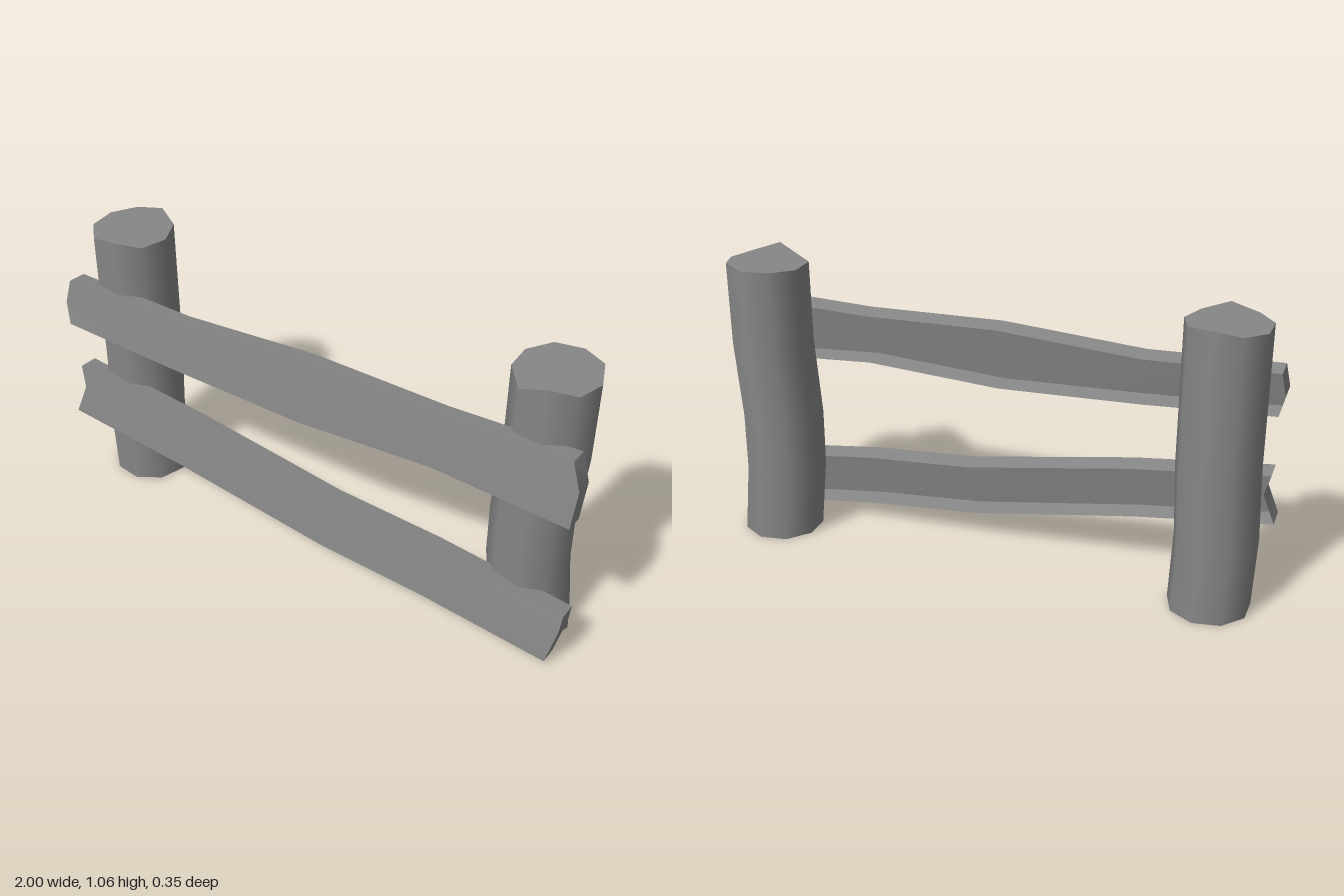
import * as THREE from 'three';
import { mergeGeometries } from 'three/addons/utils/BufferGeometryUtils.js';

const SIDES = 9, RADIUS = 0.145, POST_Z = -0.03;

function material() {
  return new THREE.MeshStandardMaterial({ color: 0x878787, side: THREE.DoubleSide });
}

// Round log post: bent cylinder, open underneath, with an unevenly cut top.
// rows: [height fraction, sideways shift]; rim: height of each top corner
function post(name, x, rows, rim) {
  const group = new THREE.Group();
  group.name = name;

  const wall = new THREE.CylinderGeometry(RADIUS, RADIUS, 1, SIDES, rows.length - 1, true, Math.PI / 2);
  const p = wall.attributes.position;
  for (let i = 0; i < p.count; i++) {
    const [t, shift] = rows[rows.length - 1 - Math.floor(i / (SIDES + 1))];
    const y = t === 1 ? rim[(i % (SIDES + 1)) % SIDES] : t * 1.035;
    p.setXYZ(i, p.getX(i) + shift, y, p.getZ(i));
  }
  const trunk = new THREE.Mesh(wall, material());
  trunk.name = 'postTrunk';

  // Cut face, fanned from the highest front corner and shaded as one face
  const PEAK = 7;
  const corners = [], normals = [], index = [];
  rim.forEach((y, k) => {
    const a = k * 2 * Math.PI / SIDES;
    corners.push(Math.cos(a) * RADIUS, y, -Math.sin(a) * RADIUS);
    normals.push(0, 1, 0);
  });
  for (let k = 1; k < SIDES - 1; k++) index.push(PEAK, (PEAK + k) % SIDES, (PEAK + k + 1) % SIDES);
  const top = new THREE.BufferGeometry();
  top.setAttribute('position', new THREE.Float32BufferAttribute(corners, 3));
  top.setAttribute('normal', new THREE.Float32BufferAttribute(normals, 3));
  top.setIndex(index);
  const cut = new THREE.Mesh(top, material());
  cut.name = 'postCutTop';

  group.add(trunk, cut);
  group.position.set(x, 0, POST_Z);
  return group;
}

// Smooth sheet through rows of points, rows from top to bottom, points from left to right
function sheet(rows) {
  const n = rows[0].length, index = [];
  for (let i = 0; i < rows.length - 1; i++) {
    for (let j = 0; j < n - 1; j++) {
      const a = i * n + j, b = a + n;
      index.push(a, b, b + 1, a, b + 1, a + 1);
    }
  }
  const g = new THREE.BufferGeometry();
  g.setAttribute('position', new THREE.Float32BufferAttribute(rows.flat(2), 3));
  g.setIndex(index);
  g.computeVertexNormals();
  return g;
}

// Rough plank, leaning back and open behind: top and bottom are [x, y] edge
// points of the front, ends are the middle points of the left and right end cuts
function rail(name, top, bottom, ends) {
  const last = top.length - 1;
  const middle = top.map((t, i) => {
    if (i === 0) return ends[0];
    if (i === last) return ends[1];
    return [(t[0] + bottom[i][0]) / 2, (t[1] + bottom[i][1]) / 2];
  });
  const depths = [0.144, 0.159, 0.174];
  const front = [top, middle, bottom].map((row, r) => row.map(([x, y]) => [x, y, depths[r]]));
  const back = front.map((row) => row.map(([x, y, z]) => [x, y - 0.01, z - 0.074]));

  const mesh = new THREE.Mesh(mergeGeometries([
    sheet(front),
    sheet([back[0], front[0]]),
    sheet([front[2], back[2]]),
    sheet(front.map((row, r) => [back[r][0], row[0]])),
    sheet(front.map((row, r) => [row[last], back[r][last]])),
  ]), material());
  mesh.name = name;
  return mesh;
}

export function createModel() {
  const fence = new THREE.Group();
  fence.name = 'fence';

  fence.add(
    post('rightPost', -0.82,
      [[0, 0], [0.25, -0.01], [0.5, 0], [0.75, 0], [1, 0]],
      [1.03, 1.035, 1.05, 1.035, 1.03, 1.03, 1.03, 1.05, 1.03]),
    post('leftPost', 0.817,
      [[0, 0], [0.25, -0.026], [0.45, -0.026], [0.72, -0.003], [1, 0]],
      [1.035, 1.045, 1.04, 1.04, 1.035, 1.035, 1.015, 1.06, 1.035]),
    rail('upperRail',
      [[-0.985, 0.85], [-0.515, 0.832], [0, 0.863], [0.5, 0.848], [0.965, 0.86]],
      [[-0.98, 0.685], [-0.515, 0.655], [0, 0.633], [0.5, 0.658], [0.99, 0.622]],
      [[-1, 0.765], [1, 0.765]]),
    rail('lowerRail',
      [[-0.98, 0.48], [-0.49, 0.42], [0.105, 0.318], [0.5, 0.287], [1, 0.219]],
      [[-0.998, 0.286], [-0.515, 0.222], [0.09, 0.119], [0.5, 0.083], [0.965, 0.02]],
      [[-0.958, 0.4], [0.997, 0.16]]),
  );
  return fence;
}
